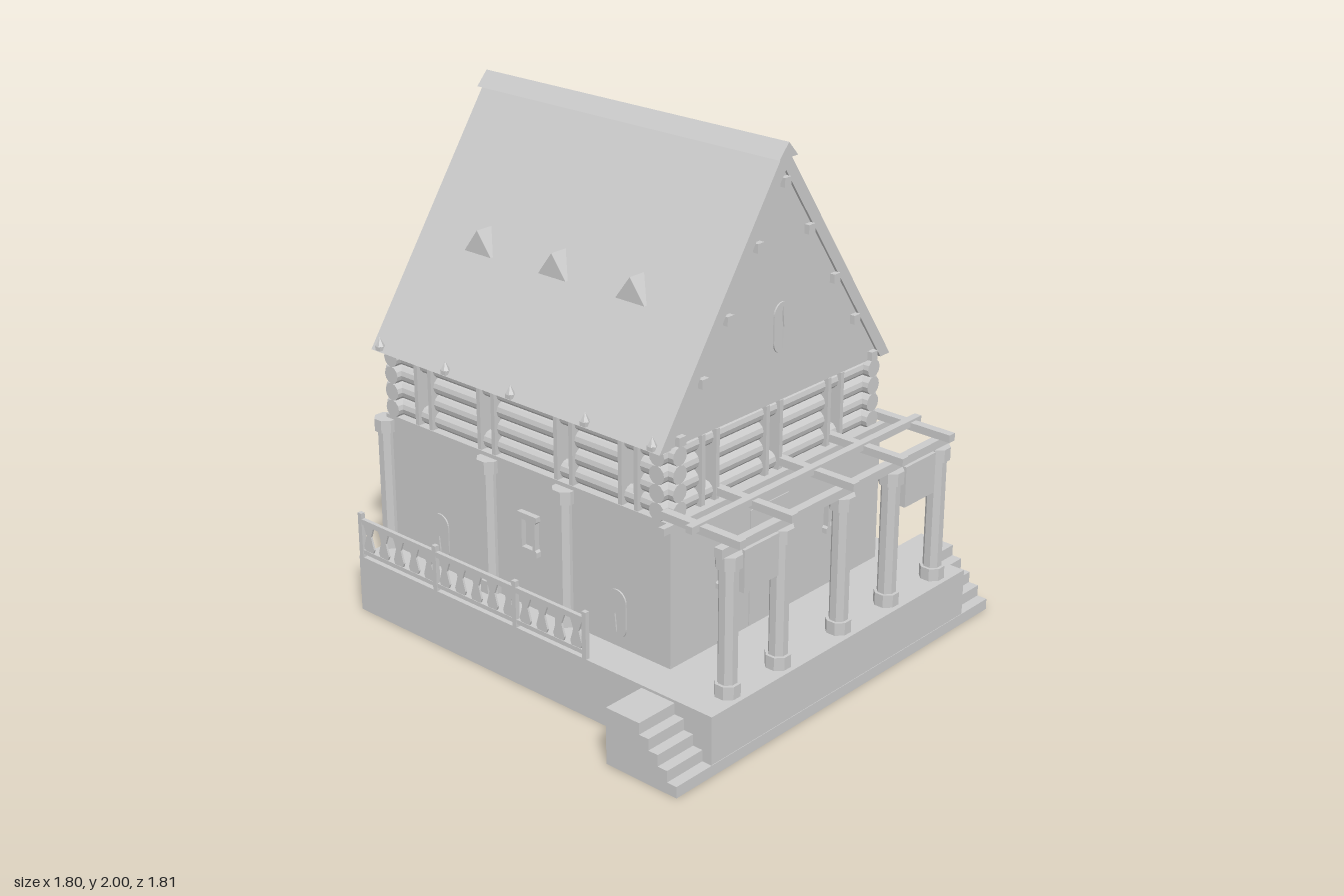
import * as THREE from 'three';

const mat = new THREE.MeshStandardMaterial({ color: 0xcccccc, flatShading: true, side: THREE.DoubleSide });
const CX = 0.012; // symmetry plane of the house

export function createModel() {
  const root = new THREE.Group();

  const add = (name, geo, x = 0, y = 0, z = 0, parent = root) => {
    const m = new THREE.Mesh(geo, mat);
    m.name = name;
    m.position.set(x, y, z);
    parent.add(m);
    return m;
  };
  // box from min / max corners
  const box = (name, x0, x1, y0, y1, z0, z1, parent = root) =>
    add(name, new THREE.BoxGeometry(x1 - x0, y1 - y0, z1 - z0), (x0 + x1) / 2, (y0 + y1) / 2, (z0 + z1) / 2, parent);
  const poly = (pts) => new THREE.Shape(pts.map(([x, y]) => new THREE.Vector2(x, y)));
  const extrude = (shape, depth) => new THREE.ExtrudeGeometry(shape, { depth, bevelEnabled: false, curveSegments: 8 });
  // box without its underside
  const openBox = (name, x0, x1, y1, z0, z1) => {
    const m = box(name, x0, x1, 0, y1, z0, z1);
    const idx = Array.from(m.geometry.index.array);
    idx.splice(18, 6);
    m.geometry.setIndex(idx);
  };

  // Foundation and porch floor, hollow underneath
  openBox('foundation', -0.722, 0.736, 0.23, -0.88, 0.59);
  openBox('porchFloor', -0.722, 0.736, 0.23, 0.59, 0.908);

  // Side stairs: treads run under the porch, closed at the ends
  const stepH = 0.044, stepD = 0.042;
  const profile = [[0.59, 0], [0.91, 0]];
  for (let i = 0; i < 5; i++) {
    const z1 = 0.91 - i * stepD, z0 = i === 4 ? 0.59 : z1 - stepD;
    box('stairTread', -0.9, 0.9, i * stepH, (i + 1) * stepH, z0, z1);
    profile.push([z1, (i + 1) * stepH], [z0, (i + 1) * stepH]);
  }
  const endShape = poly(profile.map(([z, y]) => [-z, y]));
  for (const [x0, x1, end] of [[-0.9, -0.722, -0.9], [0.736, 0.9, 0.896]]) {
    const cap = add('stairEnd', extrude(endShape, 0.004), end, 0, 0);
    cap.rotation.y = Math.PI / 2;
    box('stairBack', x0, x1, 0, 0.22, 0.59, 0.594);
  }

  // House body
  box('walls', -0.575, 0.6, 0.23, 0.785, -0.855, 0.59);
  box('door', -0.155, 0.06, 0.235, 0.692, 0.59, 0.594);

  // Columns with octagonal base and capital
  const column = (x, z) => {
    const g = new THREE.Group();
    g.name = 'column';
    g.position.set(x, 0, z);
    const oct = (name, r, y0, y1) => {
      const m = add(name, new THREE.CylinderGeometry(r, r, y1 - y0, 8), 0, (y0 + y1) / 2, 0, g);
      m.rotation.y = Math.PI / 8;
    };
    oct('columnBase', 0.048, 0.235, 0.285);
    oct('columnShaft', 0.036, 0.285, 0.72);
    oct('columnCapital', 0.048, 0.72, 0.77);
    root.add(g);
  };
  const colX = [-0.575, -0.305, 0.035, 0.32, 0.605];
  for (const x of colX) column(x, 0.85);
  for (const x of [-0.575, 0.605]) for (const z of [0.09, -0.295]) column(x, z);
  for (const x of [-0.575, 0.035, 0.605]) column(x, -0.855);

  // Pergola beams over the porch
  box('porchLintel', -0.63, 0.655, 0.768, 0.803, 0.832, 0.866);
  box('wallLintel', -0.63, 0.655, 0.768, 0.795, 0.585, 0.61);
  box('pergolaBeam', -0.63, 0.655, 0.815, 0.842, 0.705, 0.735);
  for (const x of colX) box('pergolaRafter', x - 0.017, x + 0.017, 0.803, 0.833, 0.56, 0.91);
  box('porchPanelRight', -0.53, -0.35, 0.61, 0.77, 0.82, 0.88);
  box('porchPanelLeft', 0.37, 0.55, 0.61, 0.77, 0.82, 0.88);

  // Log storey, the two middle rows cut at the openings
  const rowY = [0.817, 0.885, 0.953, 1.021], logR = 0.035, half = 0.034;
  const log = (axis, a, b, y, other) => {
    const geo = new THREE.CylinderGeometry(logR, logR, b - a, 12);
    const c = (a + b) / 2;
    if (axis === 'x') add('log', geo.rotateZ(Math.PI / 2), c, y, other);
    else add('log', geo.rotateX(Math.PI / 2), other, y, c);
  };
  const logWall = (axis, a, b, other, openings, out) => {
    rowY.forEach((y, row) => {
      let start = a;
      if (row === 1 || row === 2) for (const o of openings) {
        log(axis, start, o - half, y, other);
        start = o + half;
      }
      log(axis, start, b, y, other);
    });
    for (const o of openings) for (const s of [-1, 1]) {
      const p = o + s * (half + 0.003), q = other + out * 0.012;
      if (axis === 'x') box('openingPost', p - 0.009, p + 0.009, 0.785, 1.055, q - 0.035, q + 0.035);
      else box('openingPost', q - 0.035, q + 0.035, 0.785, 1.055, p - 0.009, p + 0.009);
    }
  };
  const openX = [-0.355, -0.012, 0.337], openZ = [-0.645, -0.31, 0.08, 0.39];
  logWall('x', -0.58, 0.604, 0.53, openX, 1);
  logWall('x', -0.58, 0.604, -0.81, openX, -1);
  logWall('z', -0.865, 0.587, -0.525, openZ, -1);
  logWall('z', -0.865, 0.587, 0.549, openZ, 1);

  // Roof: chevron shell, recessed gables and ridge cap
  const eave = 0.635, y0 = 1.055, yTop = 1.985, zB = -0.865, zF = 0.583;
  const shell = poly([[-eave, y0], [0, yTop], [eave, y0], [eave - 0.055, y0], [0, yTop - 0.085], [-eave + 0.055, y0]]);
  add('roof', extrude(shell, zF - zB), CX, 0, zB);
  const gable = poly([[-eave + 0.05, y0], [eave - 0.05, y0], [0, yTop - 0.08]]);
  add('gable', extrude(gable, zF - zB - 0.02), CX, 0, zB + 0.01);
  const cap = poly([[-0.05, 1.945], [0, 2], [0.05, 1.945]]);
  add('ridgeCap', extrude(cap, 1.465), CX, 0, -0.871);

  // Purlin ends along both gables
  const purlins = [[0, 1.86], [0.138, 1.66], [0.29, 1.44], [0.416, 1.25], [0.53, 1.075]];
  for (const [px, py] of purlins) for (const s of px ? [-1, 1] : [1]) {
    const x = CX + s * px;
    box('purlin', x - 0.017, x + 0.017, py - 0.017, py + 0.017, -0.876, 0.594);
  }

  // Dormers and eave spikes on both slopes
  const roofX = (y) => eave * (yTop - y) / (yTop - y0);
  for (const s of [-1, 1]) {
    for (const z of [0.217, -0.16, -0.54]) {
      const face = roofX(1.44) + 0.012, w = 0.068;
      const A = [s * face, 1.44, z - w], B = [s * face, 1.44, z + w], C = [s * face, 1.53, z];
      const D = [s * (roofX(1.53) - 0.005), 1.53, z];
      const E = [s * (roofX(1.44) - 0.01), 1.44, z - w], F = [s * (roofX(1.44) - 0.01), 1.44, z + w];
      const tris = [A, C, B, A, E, D, A, D, C, B, C, D, B, D, F, A, B, F, A, F, E];
      const geo = new THREE.BufferGeometry();
      geo.setAttribute('position', new THREE.Float32BufferAttribute(tris.flat(), 3));
      geo.computeVertexNormals();
      add('dormer', geo, CX, 0, 0);
    }
    for (const z of [0.545, 0.235, -0.13, -0.465, -0.82]) {
      add('eaveSpike', new THREE.ConeGeometry(0.018, 0.035, 6), CX + s * 0.63, 1.096, z);
      box('eaveSpikeFoot', CX + s * 0.63 - 0.013, CX + s * 0.63 + 0.013, 1.062, 1.08, z - 0.013, z + 0.013);
    }
  }

  // Wall ornaments: oval slit frames and eared windows
  const ovalShape = new THREE.Shape();
  ovalShape.moveTo(0.045, -0.05).lineTo(0.045, 0.05).absarc(0, 0.05, 0.045, 0, Math.PI)
    .lineTo(-0.045, -0.05).absarc(0, -0.05, 0.045, Math.PI, Math.PI * 2);
  ovalShape.holes.push(new THREE.Path([[0, -0.08], [0.009, 0], [0, 0.08], [-0.009, 0]].map((p) => new THREE.Vector2(...p))));
  const oval = (x, y, z, angle) => {
    add('ovalSlit', extrude(ovalShape, 0.006), x, y, z).rotation.y = angle;
  };
  oval(0.018, 1.33, 0.573, 0);
  oval(0.018, 1.33, -0.855, Math.PI);
  const frameShape = poly([[-0.048, -0.08], [0.048, -0.08], [0.048, -0.06], [0.04, -0.052], [0.04, 0.052], [0.048, 0.06],
    [0.048, 0.08], [-0.048, 0.08], [-0.048, 0.06], [-0.04, 0.052], [-0.04, -0.052], [-0.048, -0.06]]);
  frameShape.holes.push(new THREE.Path([[-0.027, -0.055], [0.027, -0.055], [0.027, 0.055], [-0.027, 0.055]].map((p) => new THREE.Vector2(...p))));
  const windowFrame = (x, y, z, angle) => {
    add('windowFrame', extrude(frameShape, 0.022), x, y, z).rotation.y = angle;
  };
  for (const x of [-0.29, 0.31]) windowFrame(x, 0.535, 0.59, 0);
  for (const x of [-0.27, 0.32]) oval(x, 0.37, -0.855, Math.PI);
  for (const [x, a] of [[-0.575, -Math.PI / 2], [0.6, Math.PI / 2]]) {
    windowFrame(x, 0.535, -0.085, a);
    for (const z of [0.34, -0.57]) oval(x, 0.36, z, a);
  }

  // Side railings with shaped flat balusters
  const balusterSide = [[0.02, 0], [0.028, 0.02], [0.02, 0.045], [0.013, 0.07], [0.022, 0.095], [0.03, 0.115]];
  const baluster = poly([...balusterSide, ...balusterSide.map(([x, y]) => [-x, y]).reverse()]);
  for (const x of [-0.715, 0.73]) {
    box('railTop', x - 0.008, x + 0.008, 0.37, 0.392, -0.87, 0.325);
    box('railBottom', x - 0.006, x + 0.006, 0.245, 0.262, -0.87, 0.325);
    for (const z of [0.318, -0.03, -0.45, -0.865]) box('railPost', x - 0.009, x + 0.009, 0.23, 0.415, z - 0.01, z + 0.01);
    for (let i = 0; i < 14; i++) {
      const b = add('baluster', extrude(baluster, 0.008), x - 0.004, 0.258, 0.275 - i * 0.0845);
      b.rotation.y = Math.PI / 2;
    }
  }

  return root;
}
